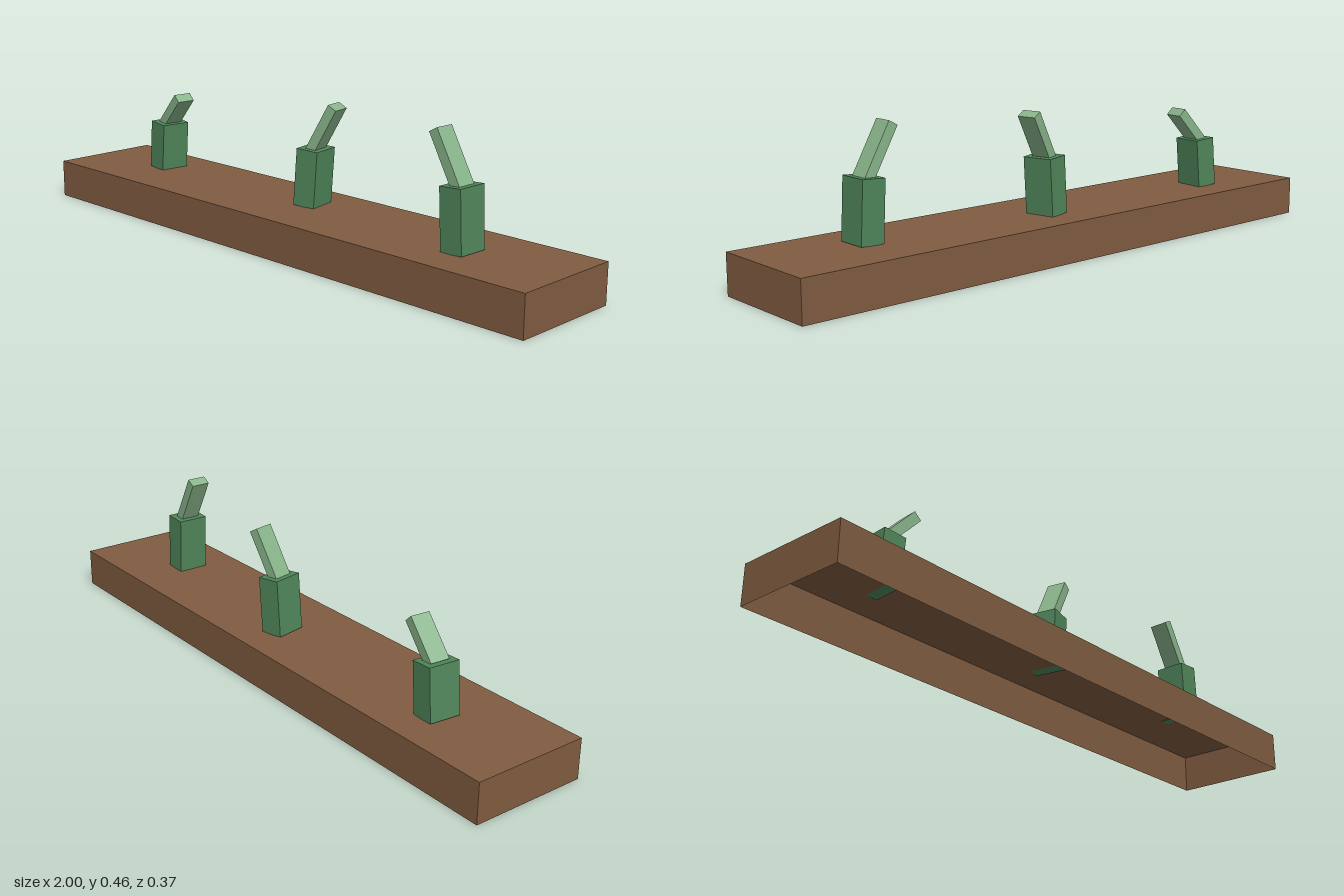
import * as THREE from 'three';

const rad = THREE.MathUtils.degToRad;

export function createModel() {
  const model = new THREE.Group();
  model.name = 'plankWithLevers';
  const wood = new THREE.MeshStandardMaterial({ color: 0x805c41, side: THREE.DoubleSide });
  wood.name = 'brown wood';
  const darkGreen = new THREE.MeshStandardMaterial({ color: 0x50865a });
  darkGreen.name = 'mid green';
  const lightGreen = new THREE.MeshStandardMaterial({ color: 0x88b48a });
  lightGreen.name = 'pale green';

  // Hollow plank, open underneath: a box without its bottom face
  const shell = new THREE.BoxGeometry(2, 0.125, 0.374);
  const index = Array.from(shell.index.array);
  index.splice(18, 6);
  shell.setIndex(index);
  shell.clearGroups();
  const plank = new THREE.Mesh(shell, wood);
  plank.name = 'plank';
  plank.position.y = 0.0625;
  model.add(plank);

  // Leaning post with a tilted lever; angles are in degrees
  function addStalk(name, x, z, height, yaw, lean, leverLength, leverAngle) {
    const stalk = new THREE.Group();
    stalk.name = name;
    stalk.position.set(x, 0.125, z);
    stalk.rotation.set(0, rad(yaw), rad(lean), 'YXZ');

    const post = new THREE.Mesh(new THREE.BoxGeometry(0.075, height, 0.1), darkGreen);
    post.name = 'post';
    post.position.y = height / 2;

    // The lever's foot sits slightly inside the post
    const leverShape = new THREE.BoxGeometry(0.032, leverLength + 0.01, 0.062);
    leverShape.translate(0, (leverLength - 0.01) / 2, 0);
    const lever = new THREE.Mesh(leverShape, lightGreen);
    lever.name = 'lever';
    lever.position.y = height;
    lever.rotation.z = rad(leverAngle - lean);

    stalk.add(post, lever);
    model.add(stalk);
  }
  addStalk('rightStalk', -0.677, -0.033, 0.162, -5, -5, 0.131, -43);
  addStalk('middleStalk', 0.029, -0.037, 0.181, 11.5, -4, 0.157, -29.5);
  addStalk('leftStalk', 0.67, 0.021, 0.187, -1, 3, 0.166, 29);

  return model;
}
